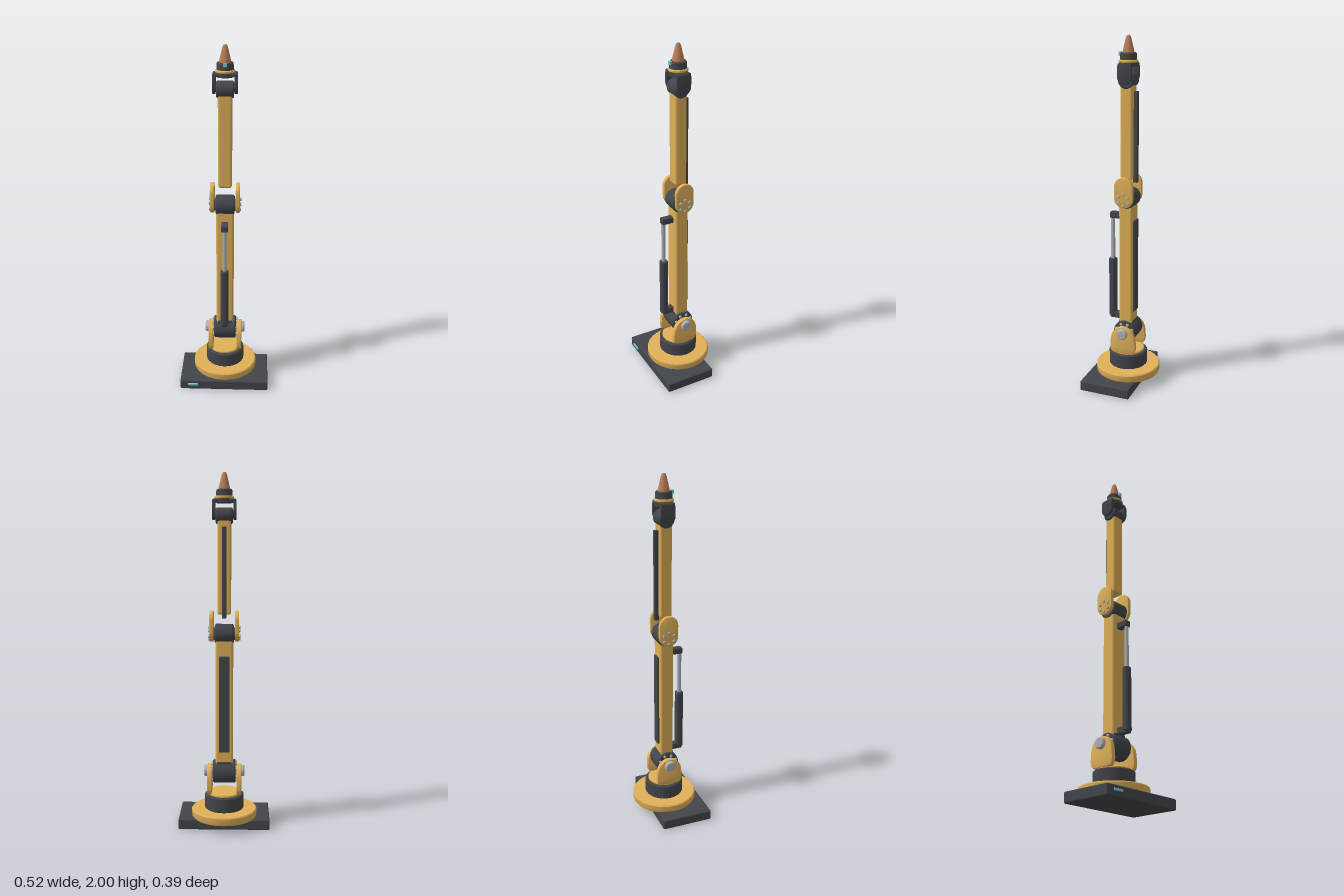
import * as THREE from 'three';
import { toCreasedNormals } from 'three/addons/utils/BufferGeometryUtils.js';
import { RoundedBoxGeometry } from 'three/addons/geometries/RoundedBoxGeometry.js';

const paint = (color) => new THREE.MeshStandardMaterial({ color });
const yellow = paint(0xdfb058), dark = paint(0x42454a), steel = paint(0xaeb2b6);
const copper = paint(0xba7f55), cyan = paint(0x74cadb);

export function createModel() {
  const model = new THREE.Group();
  model.name = 'robotArm';
  const arm = new THREE.Group();
  arm.name = 'arm';
  arm.position.z = -0.01;
  model.add(arm);

  function add(name, geometry, material, x, y, z, parent = arm) {
    const mesh = new THREE.Mesh(geometry, material);
    mesh.name = name;
    mesh.position.set(x, y, z);
    parent.add(mesh);
    return mesh;
  }

  // Box with softened edges, given by its lower and upper height
  const box = (name, material, w, y0, y1, d, x = 0, z = 0, r = 0.006, parent = arm) =>
    add(name, new RoundedBoxGeometry(w, y1 - y0, d, 2, r), material, x, (y0 + y1) / 2, z, parent);

  // Turned part from [radius, height] points
  function turned(name, material, points, sides = 24, z = 0) {
    const lathe = new THREE.LatheGeometry(points.map(([r, y]) => new THREE.Vector2(r, y)), sides);
    return add(name, toCreasedNormals(lathe, 0.5), material, 0, 0, z);
  }

  // Bevelled cylinder lying along x
  function axle(name, material, radius, length, x, y, z = 0, sides = 24) {
    const b = Math.min(0.006, radius * 0.25), h = length / 2;
    const points = [[0, -h], [radius - b, -h], [radius, b - h], [radius, h - b], [radius - b, h], [0, h]];
    const lathe = new THREE.LatheGeometry(points.map(([r, v]) => new THREE.Vector2(r, v)), sides);
    return add(name, toCreasedNormals(lathe, 0.5).rotateZ(Math.PI / 2), material, x, y, z);
  }

  // Side plate pair: a z-y outline extruded along x and mirrored
  function platePair(name, shape, material, inner, outer, bevel = 0.005) {
    const t = outer - inner;
    const geometry = new THREE.ExtrudeGeometry(shape, {
      depth: t - 2 * bevel, bevelThickness: bevel, bevelSize: bevel, bevelOffset: -bevel,
      bevelSegments: 2, curveSegments: 12,
    });
    geometry.translate(0, 0, bevel - t / 2).rotateY(-Math.PI / 2);
    for (const s of [-1, 1])
      add((s > 0 ? 'left' : 'right') + name, toCreasedNormals(geometry, 0.6), material, s * (inner + outer) / 2, 0, 0);
  }

  // Ring of bolt heads on both sides of a joint
  function bolts(name, x, y, radius, count) {
    for (const s of [-1, 1])
      for (let i = 0; i < count; i++) {
        const a = (i + 0.5) / count * Math.PI * 2;
        axle(name, steel, 0.009, 0.012, s * x, y + radius * Math.sin(a), radius * Math.cos(a), 8);
      }
  }

  // Base slab with status light, and turntable
  box('baseSlab', dark, 0.52, 0, 0.06, 0.3, 0, 0.04, 0.008, model);
  box('baseLight', cyan, 0.06, 0.03, 0.042, 0.012, -0.185, 0.191, 0.002, model);
  turned('turntable', yellow, [[0, 0.055], [0.184, 0.055], [0.188, 0.064], [0.188, 0.096], [0.183, 0.102], [0, 0.102]]);
  turned('turret', dark, [[0.106, 0.1], [0.112, 0.106], [0.112, 0.182], [0.106, 0.188], [0, 0.188]]);
  turned('yokeFloor', yellow, [[0.095, 0.185], [0.095, 0.196], [0.091, 0.2], [0, 0.2]]);

  // Shoulder yoke and hub
  const yoke = new THREE.Shape();
  yoke.moveTo(-0.055, 0.195);
  yoke.lineTo(0.055, 0.195);
  yoke.quadraticCurveTo(0.077, 0.2, 0.077, 0.24);
  yoke.lineTo(0.074, 0.285);
  yoke.bezierCurveTo(0.062, 0.385, -0.062, 0.385, -0.074, 0.285);
  yoke.lineTo(-0.077, 0.24);
  yoke.quadraticCurveTo(-0.077, 0.2, -0.055, 0.195);
  platePair('ShoulderPlate', yoke, yellow, 0.07, 0.098);
  axle('shoulderHub', dark, 0.067, 0.13, 0, 0.318);
  axle('shoulderPin', steel, 0.032, 0.234, 0, 0.32);
  bolts('shoulderBolt', 0.067, 0.318, 0.051, 8);

  // Lower arm with back panel
  box('lowerArm', yellow, 0.1, 0.34, 1.09, 0.08, 0, 0, 0.013);
  box('lowerArmPanel', dark, 0.058, 0.44, 0.99, 0.018, 0, -0.041, 0.003);
  box('lowerArmCollar', dark, 0.084, 0.34, 0.383, 0.088);

  // Piston on the front of the lower arm
  for (const [name, y0, y1] of [['pistonFoot', 0.378, 0.415], ['pistonHead', 0.99, 1.026]])
    box(name, dark, 0.038, y0, y1, 0.075, 0, 0.069, 0.005);
  turned('pistonBarrel', dark, [[0, 0.388], [0.02, 0.388], [0.024, 0.393], [0.024, 0.742], [0.02, 0.747], [0, 0.747]], 16, 0.094);
  turned('pistonRod', steel, [[0, 0.74], [0.012, 0.74], [0.012, 1.015], [0, 1.015]], 16, 0.094);

  // Elbow with rounded link plates
  const link = new THREE.Shape();
  link.absarc(0, 1.125, 0.055, Math.PI, 2 * Math.PI, false);
  link.absarc(0, 1.19, 0.055, 0, Math.PI, false);
  link.closePath();
  axle('elbowHub', dark, 0.056, 0.106, 0, 1.115);
  axle('elbowPin', dark, 0.035, 0.16, 0, 1.115);
  platePair('ElbowPlate', link, yellow, 0.06, 0.083);
  bolts('elbowBolt', 0.084, 1.118, 0.033, 6);

  // Upper arm with cable cover
  box('upperArm', yellow, 0.076, 1.225, 1.75, 0.07, 0, 0, 0.012);
  box('cableCover', dark, 0.024, 1.206, 1.708, 0.026, 0, -0.044, 0.004);

  // Wrist fork
  const cheek = new THREE.Shape();
  cheek.moveTo(-0.034, 1.852);
  cheek.lineTo(-0.041, 1.84);
  cheek.absarc(0, 1.785, 0.041, Math.PI, 2 * Math.PI, false);
  cheek.lineTo(0.041, 1.84);
  cheek.lineTo(0.034, 1.852);
  cheek.closePath();
  axle('wristHub', dark, 0.045, 0.094, 0, 1.767);
  axle('wristPin', dark, 0.022, 0.124, 0, 1.775);
  platePair('WristPlate', cheek, dark, 0.05, 0.067, 0.003);
  box('wristBridge', dark, 0.128, 1.84, 1.856, 0.08, 0, 0, 0.004);

  // Tool head
  turned('toolFlange', dark, [[0, 1.836], [0.05, 1.836], [0.05, 1.858], [0, 1.858]]);
  turned('toolRing', yellow, [[0, 1.857], [0.049, 1.857], [0.053, 1.861], [0.053, 1.869], [0.049, 1.873], [0, 1.873]]);
  turned('toolCollar', dark, [[0.046, 1.87], [0.044, 1.905], [0.04, 1.91], [0, 1.91]]);
  turned('toolNozzle', copper, [[0.032, 1.908], [0.03, 1.922], [0.015, 1.985], [0.01, 1.997], [0, 1.997]]);
  turned('nozzleTip', steel, [[0.009, 1.99], [0.008, 2], [0, 2]], 16);
  box('toolLight', cyan, 0.02, 1.893, 1.914, 0.014, 0, 0.046, 0.002);

  return model;
}
